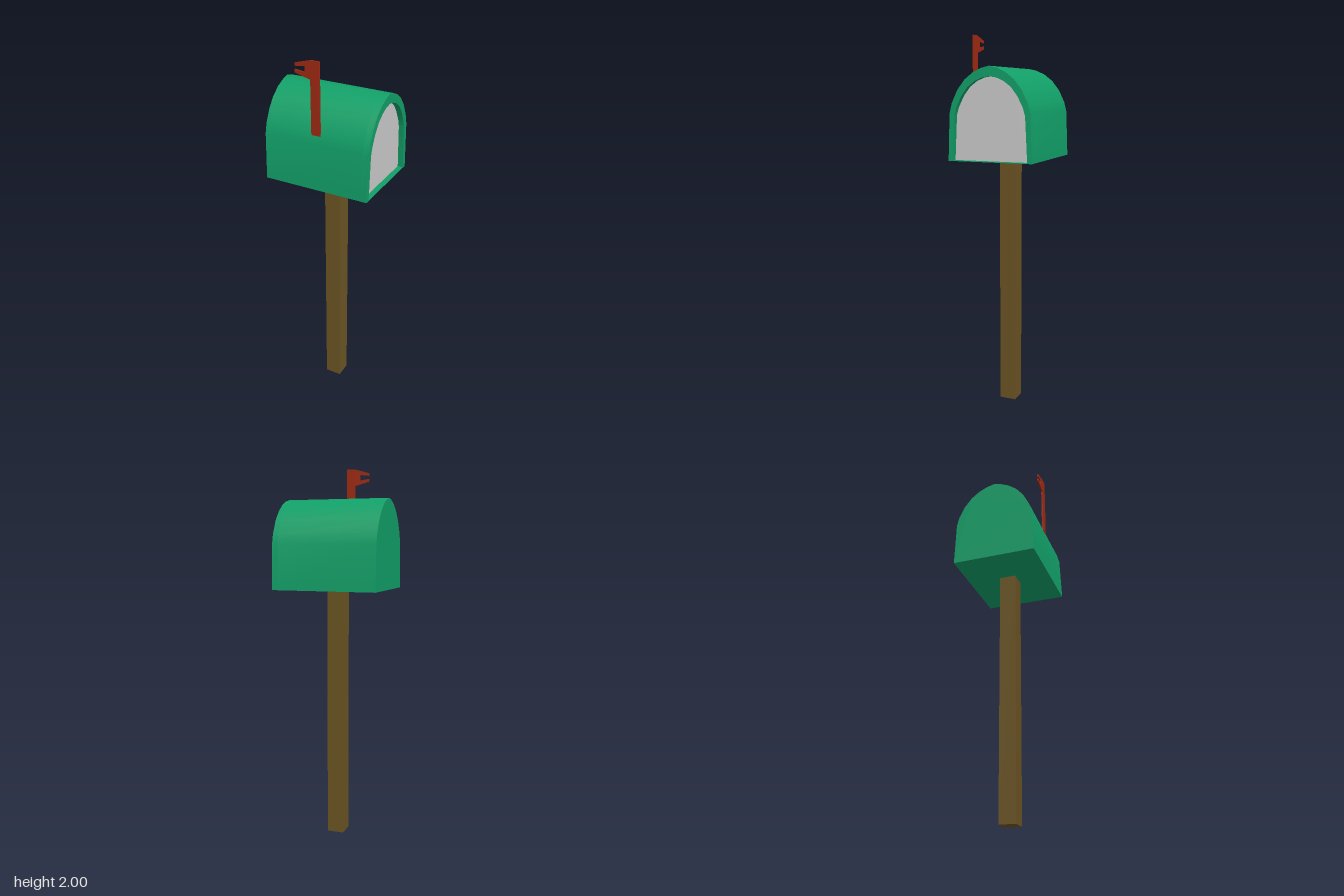
import * as THREE from 'three';
import { toCreasedNormals } from 'three/addons/utils/BufferGeometryUtils.js';

const BASE = 1.36, BACK = -0.282, FRONT = 0.281, RECESS = 0.03;

// Half outlines of the arch, from the base up to the crown
const OUTER = [[0.227, BASE], [0.217, 1.6], [0.204, 1.65], [0.172, 1.715], [0.132, 1.765], [0.086, 1.8], [0.042, 1.82], [0, 1.83]];
const INNER = [[0.202, BASE + 0.003], [0.19, 1.59], [0.178, 1.63], [0.15, 1.685], [0.115, 1.73], [0.076, 1.758], [0.038, 1.774], [0, 1.78]];

// Mirrors a half outline into a closed list of points
function arch(half) {
  const left = half.slice(0, -1).reverse().map(([x, y]) => [-x, y]);
  return [...half, ...left].map(([x, y]) => new THREE.Vector2(x, y));
}

// Extrudes an arch shape along x between two positions
function extrudeX(shape, from, to) {
  const geo = new THREE.ExtrudeGeometry(shape, { depth: to - from, bevelEnabled: false });
  geo.rotateY(Math.PI / 2).translate(from, 0, 0);
  return toCreasedNormals(geo, 0.6);
}

export function createModel() {
  const group = new THREE.Group();
  const green = new THREE.MeshStandardMaterial({ color: 0x12a068 });
  const brown = new THREE.MeshStandardMaterial({ color: 0x6b5423 });
  const red = new THREE.MeshStandardMaterial({ color: 0xa02a12 });
  const grey = new THREE.MeshStandardMaterial({ color: 0xcccccc });

  const add = (name, geometry, material) => {
    const mesh = new THREE.Mesh(geometry, material);
    mesh.name = name;
    group.add(mesh);
    return mesh;
  };

  // Square post
  add('post', new THREE.BoxGeometry(0.09, BASE, 0.09), brown).position.set(-0.002, BASE / 2, 0);

  // Closed body, then the open rim around the recessed door
  add('body', extrudeX(new THREE.Shape(arch(OUTER)), BACK, FRONT - RECESS), green);
  const rim = new THREE.Shape(arch(OUTER));
  rim.holes.push(new THREE.Path(arch(INNER)));
  add('rim', extrudeX(rim, FRONT - RECESS, FRONT), green);

  // Door panel, set back inside the rim
  const door = new THREE.ShapeGeometry(new THREE.Shape(arch(INNER)));
  door.rotateY(Math.PI / 2).translate(FRONT - RECESS + 0.001, 0, 0);
  add('door', door, grey);

  // Thin flag with a notched pennant
  const outline = [
    [0.022, 1.64], [0.022, 2], [-0.024, 2], [-0.107, 1.977], [-0.107, 1.963], [-0.055, 1.969],
    [-0.055, 1.94], [-0.107, 1.947], [-0.107, 1.932], [-0.026, 1.91], [-0.026, 1.64],
  ].map(([x, y]) => new THREE.Vector2(x, y));
  const flag = new THREE.ExtrudeGeometry(new THREE.Shape(outline), { depth: 0.008, bevelEnabled: false });
  add('flag', flag, red).position.z = 0.201;

  return group;
}
